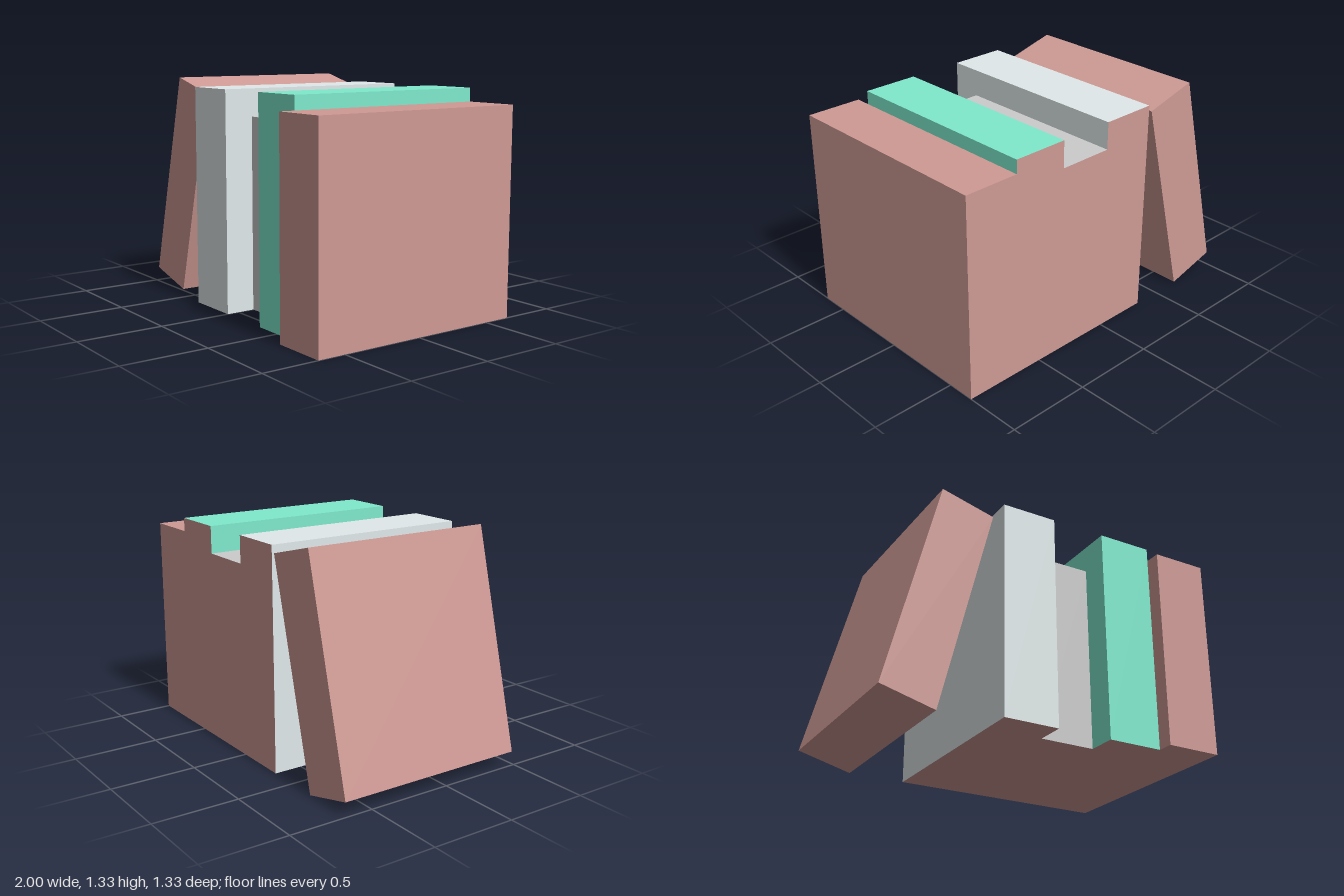
import * as THREE from 'three';

const mat = (color) => new THREE.MeshStandardMaterial({ color });

export function createModel() {
  const group = new THREE.Group();
  const brown = mat(0xcf9a95);
  const pale = mat(0xe0e9ea);
  const grey = mat(0xcccccc);
  const green = mat(0x7feacd);

  const BACK = -0.667; // shared back plane
  const THICK = 0.333; // thickness of every book

  // The cover colour shows on the sides, top and front; back and underside are brown
  function addBook(name, cover, height, front, x, y, tilt = 0) {
    const depth = front - BACK;
    const book = new THREE.Mesh(
      new THREE.BoxGeometry(THICK, height, depth),
      [cover, cover, cover, brown, cover, brown]
    );
    book.name = name;
    book.position.set(x, y, BACK + depth / 2);
    book.rotation.z = tilt;
    group.add(book);
  }

  // Upright row, from the model's right to its left
  const row = [
    ['paleBook', pale, 1.29, 0.573],
    ['greyBook', grey, 1.13, 0.398],
    ['greenBook', green, 1.29, 0.573],
    ['brownBook', brown, 1.21, 0.667],
  ];
  row.forEach(([name, cover, height, front], i) => {
    addBook(name, cover, height, front, 1 - THICK * (3.5 - i), height / 2);
  });

  // Book leaning against the row
  addBook('leaningBook', brown, 1.29, 0.483, -0.677, 0.666, -THREE.MathUtils.degToRad(14.5));

  return group;
}
